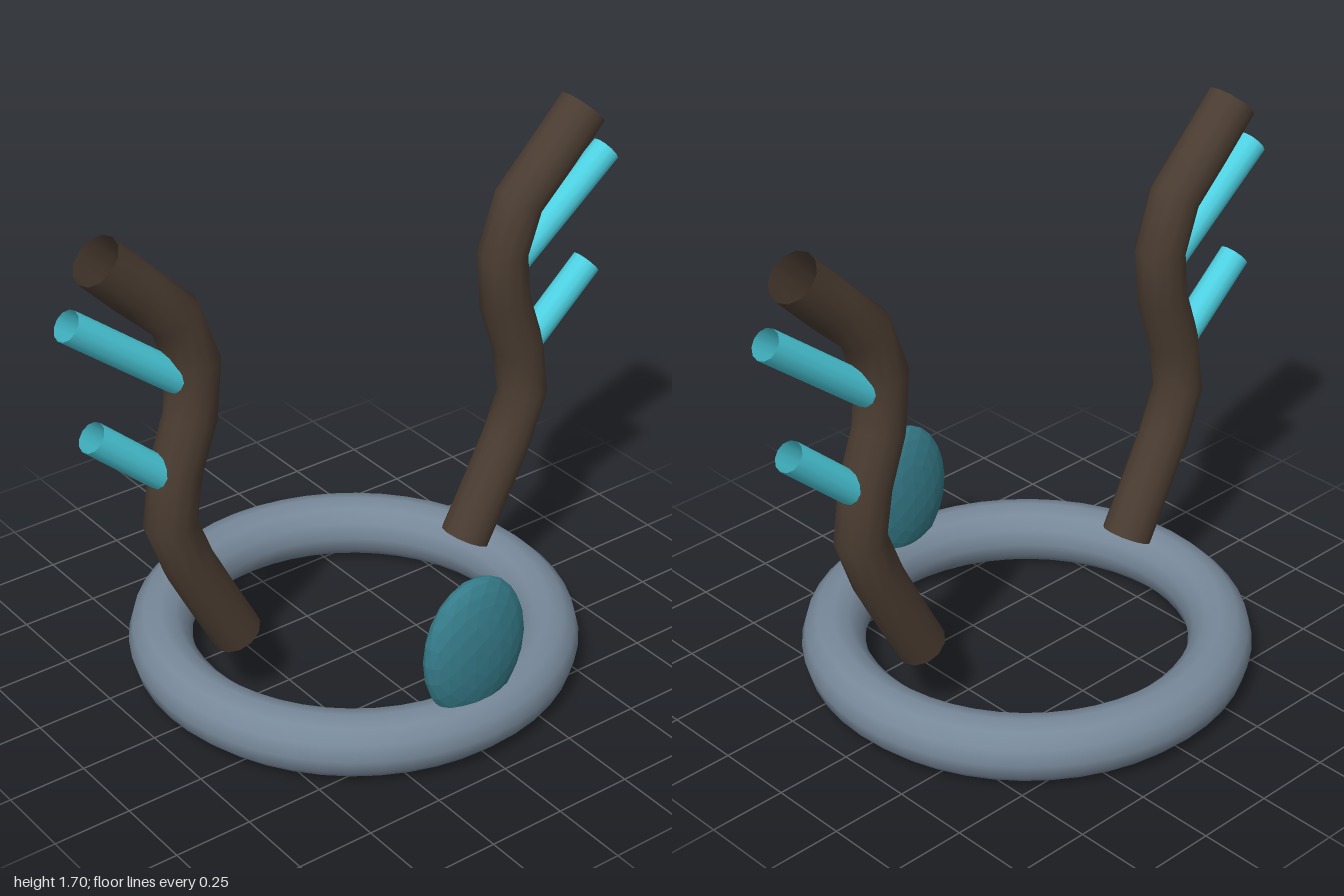
import * as THREE from 'three';

const material = (color, extra = {}) => new THREE.MeshStandardMaterial({ color, ...extra });

// Open tube through points in the z = 0 plane, mirrored by side (+1 or -1)
function tube(name, points, side, radius, segments, mat) {
  const curve = new THREE.CatmullRomCurve3(
    points.map(([x, y]) => new THREE.Vector3(x * side, y, 0)));
  const mesh = new THREE.Mesh(new THREE.TubeGeometry(curve, segments, radius, 12), mat);
  mesh.name = name;
  return mesh;
}

export function createModel() {
  const model = new THREE.Group();
  model.name = 'antlerCirclet';

  const metal = material(0x778899);
  const bark = material(0x4a3c31, { side: THREE.DoubleSide });
  const crystal = material(0x4dd0e1, { side: THREE.DoubleSide });
  const stone = material(0x357b89, { flatShading: true });

  // Ring band lying on the ground
  const ring = new THREE.Mesh(new THREE.TorusGeometry(0.605, 0.1, 12, 48), metal);
  ring.name = 'ringBand';
  ring.rotation.x = Math.PI / 2;
  ring.position.y = 0.1;
  model.add(ring);

  // Flattened oval gem at the front of the band
  const gem = new THREE.Mesh(new THREE.IcosahedronGeometry(1, 3), stone);
  gem.name = 'frontGem';
  gem.scale.set(0.182, 0.236, 0.072);
  gem.position.set(0, 0.354, 0.59);
  model.add(gem);

  // Antlers: a wavy beam with two straight tines on its outer side
  const beam = [[0.443, 0.265], [0.52, 0.41], [0.6, 0.565], [0.663, 0.73], [0.635, 0.91],
    [0.575, 1.09], [0.57, 1.27], [0.637, 1.42], [0.753, 1.525], [0.865, 1.64]];
  const tines = [
    [[0.655, 0.88], [0.908, 1.105]],
    [[0.62, 1.2], [0.967, 1.475]],
  ];
  for (const [label, side] of [['left', 1], ['right', -1]]) {
    const antler = new THREE.Group();
    antler.name = `${label}Antler`;
    antler.add(tube('beam', beam, side, 0.08, 9, bark));
    tines.forEach((path, i) =>
      antler.add(tube(i ? 'upperTine' : 'lowerTine', path, side, 0.048, 1, crystal)));
    model.add(antler);
  }
  return model;
}
